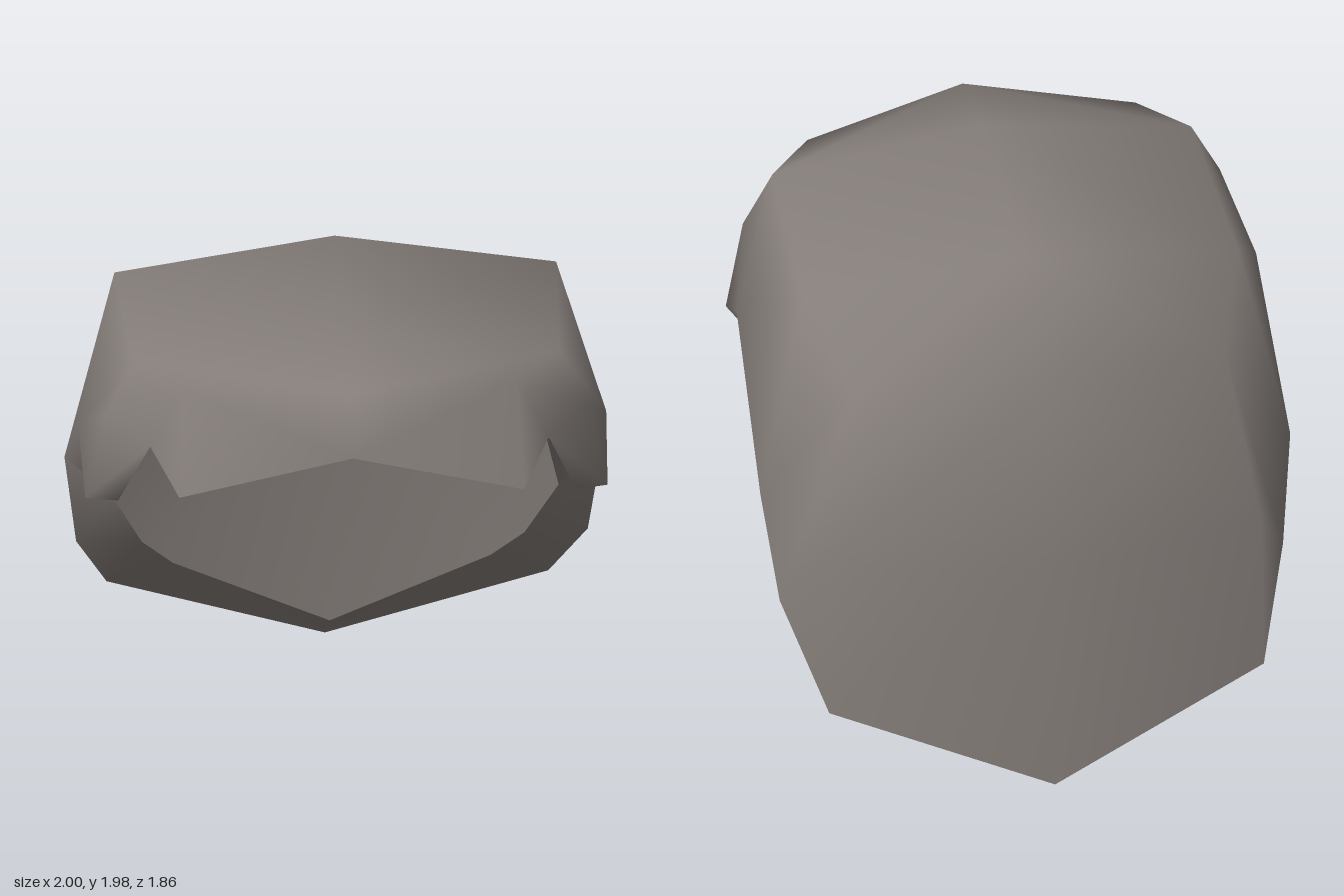
import * as THREE from 'three';

// Guide points on the left half (x >= 0)
const P = {
  // centre line, from fringe over the crown to the nape
  c0: [0, 1.65, 0.93], c1: [0, 1.90, 0.90], c2: [0, 1.98, 0.53], c3: [0, 1.97, -0.28],
  c4: [0, 1.67, -0.72], c5: [0, 0.95, -0.86], c6: [0, 0, -0.93],
  // upper side line
  a0: [0.64, 1.47, 0.86], a1: [0.62, 1.85, 0.73], a2: [0.79, 1.87, 0.52], a3: [0.82, 1.86, -0.24],
  a4: [0.70, 1.68, -0.62], a5: [0.82, 0.95, -0.71], a6: [0.82, 0.32, -0.76],
  // lower side line: fringe notch, side lock, ear notch, back edge
  notch: [0.74, 1.61, 0.71], temple: [0.90, 1.65, 0.53], lockSide: [0.97, 1.30, 0.50],
  lockFront: [0.85, 1.31, 0.55], lockBack: [0.85, 1.22, 0.30],
  ear: [0.98, 1.47, 0.23], earIn: [0.75, 1.40, 0.22],
  back: [1.00, 1.05, -0.34], low: [0.95, 0.64, -0.46],
  // inner edge of the hem
  backIn: [0.83, 0.93, -0.25], lowIn: [0.71, 0.67, -0.38],
  a6In: [0.59, 0.53, -0.48], c6In: [0, 0.21, -0.61],
};

// Faces of the left half, counter-clockwise from outside
const SHELL = [
  ['a0', 'notch', 'a1'],
  ['a1', 'notch', 'temple', 'a2'],
  ['notch', 'lockFront', 'lockSide', 'temple'],
  ['lockFront', 'lockBack', 'lockSide'],
  ['temple', 'lockSide', 'ear'],
  ['lockSide', 'lockBack', 'ear'],
  ['a2', 'temple', 'ear', 'a3'],
  ['a3', 'ear', 'back', 'a4'],
  ['ear', 'lockBack', 'earIn'],
  ['ear', 'earIn', 'backIn', 'back'],
  ['a4', 'back', 'low', 'a5'],
  ['a5', 'low', 'a6'],
];
for (let i = 0; i < 6; i++) SHELL.push(['c' + i, 'a' + i, 'a' + (i + 1), 'c' + (i + 1)]);

// Hem turned inward around the nape
const HEM = [
  ['low', 'back', 'backIn', 'lowIn'],
  ['a6', 'low', 'lowIn', 'a6In'],
  ['c6', 'a6', 'a6In', 'c6In'],
];

// Builds both mirrored halves as one smooth surface; centre points are shared.
function mirroredSurface(faces) {
  const pos = [], index = [], seen = new Map();
  const vertex = (name, s) => {
    const p = P[name];
    const key = name + (p[0] === 0 ? 1 : s);
    if (!seen.has(key)) {
      seen.set(key, pos.length / 3);
      pos.push(p[0] * s, p[1], p[2]);
    }
    return seen.get(key);
  };
  for (const s of [1, -1]) {
    for (const face of faces) {
      const f = face.map((name) => vertex(name, s));
      for (let i = 1; i < f.length - 1; i++) {
        if (s < 0) index.push(f[0], f[i + 1], f[i]);
        else index.push(f[0], f[i], f[i + 1]);
      }
    }
  }
  const g = new THREE.BufferGeometry();
  g.setAttribute('position', new THREE.Float32BufferAttribute(pos, 3));
  g.setIndex(index);
  g.computeVertexNormals();
  return g;
}

export function createModel() {
  const group = new THREE.Group();
  group.name = 'hair';
  // Open sheet, seen from inside as well
  const mat = new THREE.MeshStandardMaterial({ color: 0x857e7a, side: THREE.DoubleSide });
  mat.name = 'warm grey';
  const add = (name, faces) => {
    const mesh = new THREE.Mesh(mirroredSurface(faces), mat);
    mesh.name = name;
    group.add(mesh);
  };
  add('hairShell', SHELL);
  add('napeHem', HEM);
  return group;
}
